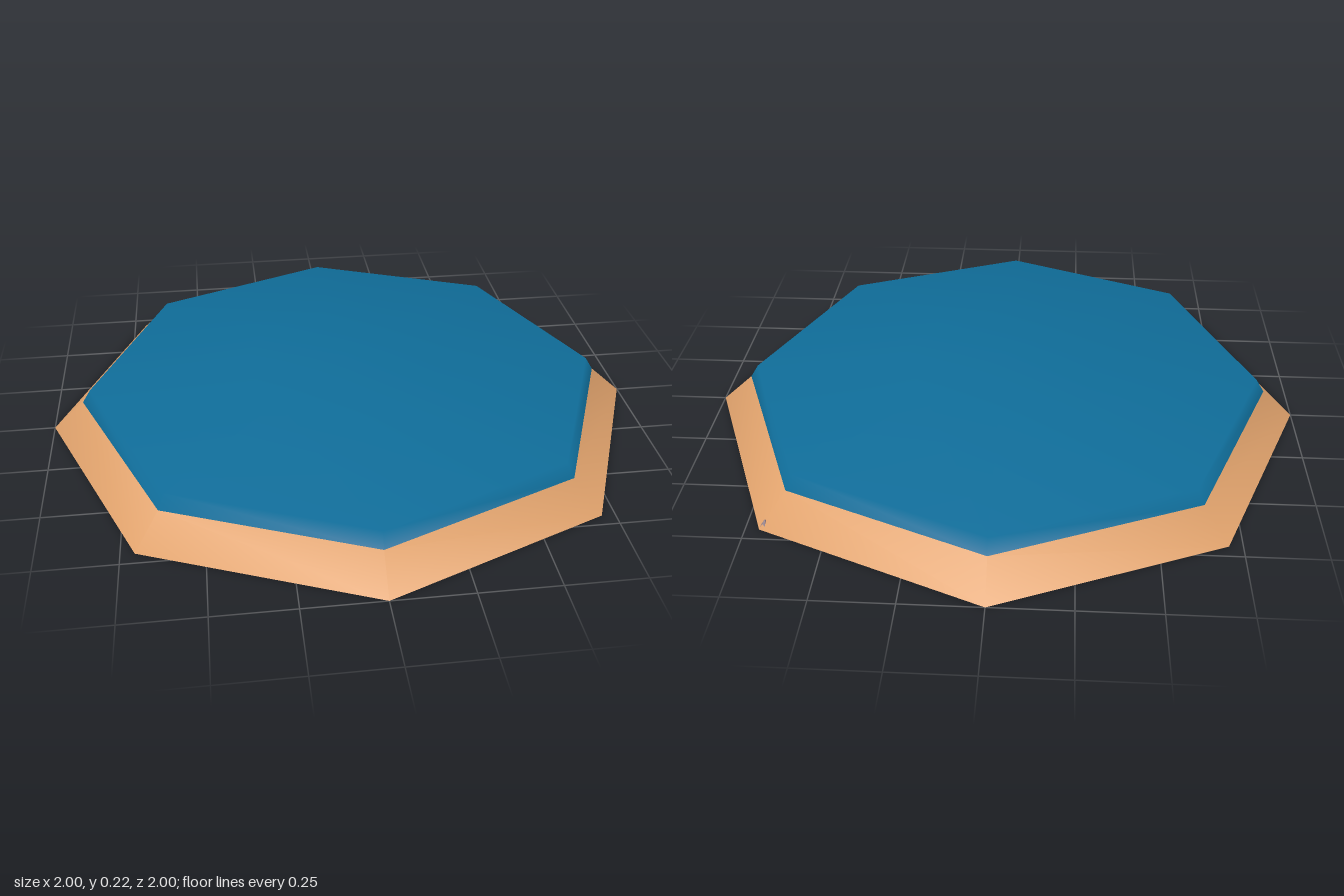
import * as THREE from 'three';
import { mergeVertices } from 'three/addons/utils/BufferGeometryUtils.js';

const SIDES = 8;

// Revolve a bottom-to-top profile into a smooth-shaded octagonal shell
function octagonShell(profile) {
  const points = profile.map(([r, y]) => new THREE.Vector2(r, y));
  const lathe = new THREE.LatheGeometry(points, SIDES);
  lathe.deleteAttribute('normal');
  lathe.deleteAttribute('uv');
  const geometry = mergeVertices(lathe, 1e-4);
  geometry.computeVertexNormals();
  return geometry;
}

export function createModel() {
  const model = new THREE.Group();
  model.name = 'octagonalDisc';

  const tan = new THREE.MeshStandardMaterial({ color: 0xe0a26c });
  tan.name = 'tan';
  const blue = new THREE.MeshStandardMaterial({ color: 0x0f6c98 });
  blue.name = 'deep blue';
  const mauve = new THREE.MeshStandardMaterial({ color: 0x85707a });
  mauve.name = 'grey mauve';

  const add = (name, geometry, material) => {
    const mesh = new THREE.Mesh(geometry, material);
    mesh.name = name;
    model.add(mesh);
    return mesh;
  };

  // Sloping rim
  add('rim', octagonShell([[1, 0], [0.895, 0.095]]), tan);

  // Flat underside
  const underside = add('underside', new THREE.CircleGeometry(1, SIDES), tan);
  underside.rotation.x = Math.PI / 2;

  // Shallow domed top with a short bevelled edge
  add('dome', octagonShell([[0.895, 0.095], [0.867, 0.14], [0.35, 0.203], [0, 0.22]]), blue);

  // Small chip on the back left corner of the rim
  const chip = add('cornerChip', new THREE.ConeGeometry(0.022, 0.026, 6), mauve);
  chip.position.set(0.69, 0.013, -0.69);

  return model;
}
